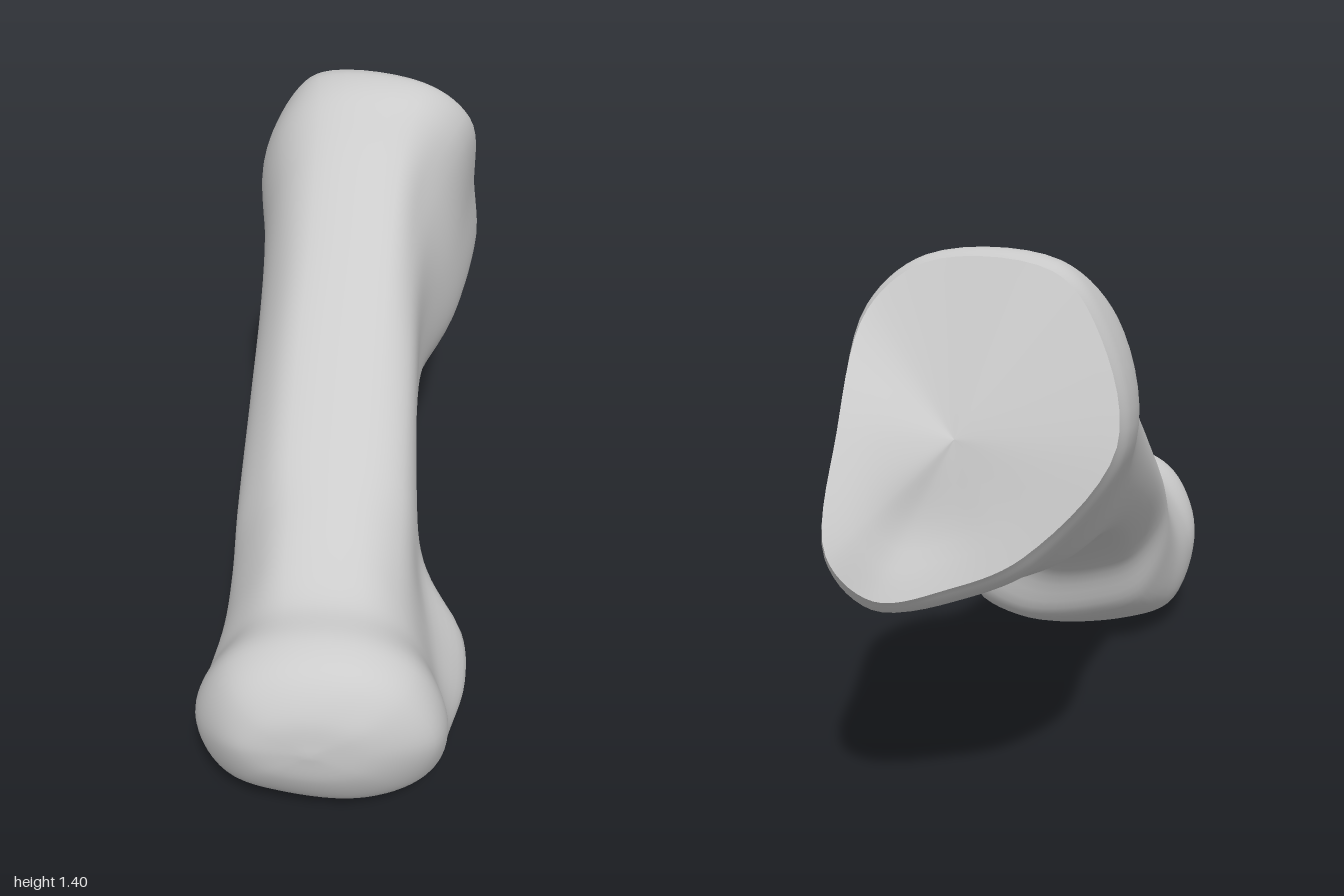
import * as THREE from 'three';

// Cross-sections, each: zTop, yTop, zBottom, yBottom, then x around the ring:
// bottom right, right low/mid/high, top right, top left, left high/mid/low, bottom left
const HEAD = [
  [0.985, 0.43, 0.98, 0.23, 0.02, 0.09, 0.12, 0.09, 0.01, -0.09, -0.16, -0.20, -0.16, -0.10],
  [0.93, 0.51, 0.90, 0.10, 0.06, 0.18, 0.25, 0.18, 0.07, -0.11, -0.23, -0.285, -0.23, -0.13],
  [0.85, 0.547, 0.80, 0.03, 0.10, 0.24, 0.28, 0.21, 0.08, -0.12, -0.26, -0.335, -0.285, -0.17],
  [0.73, 0.553, 0.66, 0.008, 0.11, 0.28, 0.255, 0.18, 0.07, -0.12, -0.23, -0.325, -0.285, -0.17],
  [0.62, 0.60, 0.51, 0.05, 0.15, 0.325, 0.235, 0.16, 0.06, -0.13, -0.22, -0.30, -0.25, -0.11],
  [0.50, 0.67, 0.395, 0.12, 0.17, 0.315, 0.21, 0.16, 0.06, -0.13, -0.22, -0.29, -0.21, -0.07],
];
const SHAFT = [
  [0.38, 0.745, 0.315, 0.30, 0.07, 0.18, 0.19, 0.16, 0.07, -0.14, -0.22, -0.285, -0.20, -0.10],
  [0.12, 0.91, -0.02, 0.50, 0.08, 0.16, 0.175, 0.16, 0.08, -0.14, -0.22, -0.28, -0.21, -0.10],
  [-0.15, 1.09, -0.28, 0.565, 0.14, 0.185, 0.19, 0.16, 0.09, -0.13, -0.22, -0.28, -0.20, -0.06],
];
const BASE = [
  [-0.38, 1.25, -0.56, 0.58, 0.21, 0.275, 0.265, 0.19, 0.11, -0.13, -0.24, -0.29, -0.17, -0.02],
  [-0.51, 1.36, -0.77, 0.625, 0.23, 0.32, 0.31, 0.27, 0.15, -0.13, -0.26, -0.315, -0.15, 0.01],
  [-0.60, 1.385, -0.91, 0.65, 0.23, 0.33, 0.325, 0.30, 0.17, -0.14, -0.25, -0.315, -0.13, 0.03],
  [-0.65, 1.375, -0.96, 0.69, 0.21, 0.305, 0.31, 0.285, 0.16, -0.14, -0.24, -0.30, -0.11, 0.05],
];
const LEVELS = [0, 0.15, 0.5, 0.85, 1, 1, 0.85, 0.5, 0.15, 0.04];
const AROUND = 70, STEPS = 6;

// Smooth closed ring through the points of a section;
// flare skews its plane and bows it backwards towards the bottom
function ring([zT, yT, zB, yB, ...xs], flare) {
  const pts = xs.map((x, k) => {
    const v = LEVELS[k];
    const shift = flare * (0.24 * (0.2 - x) * (1 - 2 * v) - 0.45 * v * (1 - v) ** 2);
    return new THREE.Vector3(
      x, THREE.MathUtils.lerp(yB, yT, v), THREE.MathUtils.lerp(zB, zT, v) + shift);
  });
  const curve = new THREE.CatmullRomCurve3(pts, true);
  return Array.from({ length: AROUND }, (_, j) => curve.getPoint(j / AROUND));
}

// Skin a list of rings into one smooth mesh
function skin(rings, name) {
  const pos = [], index = [];
  rings.forEach((r) => r.forEach((p) => pos.push(p.x, p.y, p.z)));
  for (let i = 0; i < rings.length - 1; i++) {
    for (let j = 0; j < AROUND; j++) {
      const a = i * AROUND + j, b = i * AROUND + (j + 1) % AROUND;
      index.push(a, a + AROUND, b, b, a + AROUND, b + AROUND);
    }
  }
  const geo = new THREE.BufferGeometry();
  geo.setAttribute('position', new THREE.Float32BufferAttribute(pos, 3));
  geo.setIndex(index);
  geo.computeVertexNormals();
  const mesh = new THREE.Mesh(geo, new THREE.MeshStandardMaterial({ color: 0xcccccc }));
  mesh.name = name;
  return mesh;
}

export function createModel() {
  const group = new THREE.Group();
  group.name = 'footBone';

  // Rounded head, shaft and flared base as one continuous loft
  const tip = new THREE.Vector3(-0.04, 0.335, 1.0);
  const sections = [
    Array.from({ length: AROUND }, () => tip),
    ...[...HEAD, ...SHAFT].map((s) => ring(s, 0)),
    ...BASE.map((s, i) => ring(s, i / 3)),
  ];
  const spans = sections.length - 1;
  const lines = Array.from({ length: AROUND }, (_, j) =>
    new THREE.CatmullRomCurve3(sections.map((s) => s[j])));
  const rings = [];
  for (let i = 0; i <= spans * STEPS; i++) {
    rings.push(lines.map((line) => line.getPoint(i / (spans * STEPS))));
  }
  const body = skin(rings, 'boneBody');
  // One shared direction at the tip keeps the head smooth
  for (let j = 0; j < AROUND; j++) body.geometry.attributes.normal.setXYZ(j, 0, 0, 1);
  group.add(body);

  // Shallow joint facet closing the base, hollowed near its lower end
  const rim = rings[rings.length - 1];
  const centre = new THREE.Vector3(0.05, 1.03, -0.86);
  const hollow = new THREE.Vector3(0.16, 0.85, -0.93);
  const facet = [];
  for (let i = 0; i <= 10; i++) {
    const t = i / 10;
    facet.push(rim.map((p) => {
      const q = p.clone().lerp(centre, t);
      q.z += Math.min(1, t * 3) * 0.025 * Math.exp(-50 * q.distanceToSquared(hollow));
      return q;
    }));
  }
  group.add(skin(facet, 'jointFacet'));
  return group;
}
